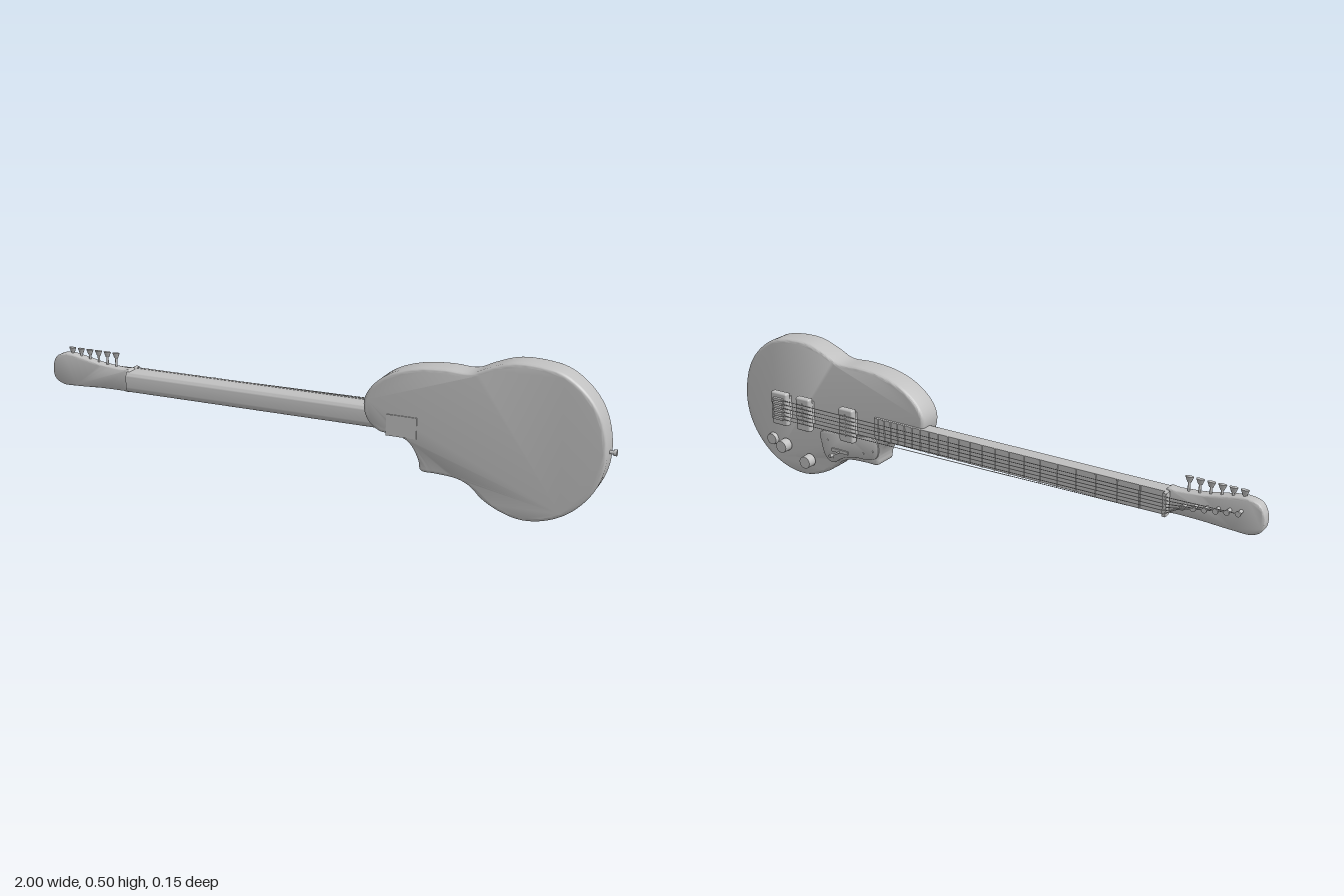
import * as THREE from 'three';
import { toCreasedNormals } from 'three/addons/utils/BufferGeometryUtils.js';
import { RoundedBoxGeometry } from 'three/addons/geometries/RoundedBoxGeometry.js';

const grey = new THREE.MeshStandardMaterial({ color: 0xc0c0c0 });
grey.name = 'plain grey';

export function createModel() {
  const group = new THREE.Group();
  group.name = 'electricGuitar';

  const add = (name, geometry, x = 0, y = 0, z = 0) => {
    const mesh = new THREE.Mesh(geometry, grey);
    mesh.name = name;
    mesh.position.set(x, y, z);
    group.add(mesh);
    return mesh;
  };
  const box = (name, x, y, z, w, h, d) => add(name, new THREE.BoxGeometry(w, h, d), x, y, z);
  // cylinder between two points, r0 at the start and r1 at the end
  const rod = (name, a, b, r0, r1 = r0, sides = 16) => {
    const from = new THREE.Vector3(...a), to = new THREE.Vector3(...b);
    const dir = to.clone().sub(from);
    const mesh = add(name, new THREE.CylinderGeometry(r1, r0, dir.length(), sides));
    mesh.position.copy(from).addScaledVector(dir, 0.5);
    mesh.quaternion.setFromUnitVectors(new THREE.Vector3(0, 1, 0), dir.normalize());
    return mesh;
  };
  // smooth closed outline extruded from z0 to z1 with rounded rims
  const slab = (name, points, z0, z1, bevel, divisions = 120) => {
    const curve = new THREE.CatmullRomCurve3(points.map(([x, y]) => new THREE.Vector3(x, y, 0)), true, 'centripetal');
    const outline = curve.getPoints(divisions).slice(0, -1).map(p => new THREE.Vector2(p.x, p.y));
    const geo = new THREE.ExtrudeGeometry(new THREE.Shape(outline), {
      depth: z1 - z0 - 2 * bevel, bevelEnabled: bevel > 0, bevelThickness: bevel,
      bevelSize: bevel, bevelOffset: -bevel, bevelSegments: 4,
    });
    geo.translate(0, 0, z0 + bevel);
    return add(name, toCreasedNormals(geo, 0.6));
  };

  // body with a single cutaway
  slab('body', [
    [0.2, 0.32], [0.225, 0.37], [0.285, 0.418], [0.37, 0.447], [0.468, 0.456], [0.55, 0.454],
    [0.607, 0.478], [0.676, 0.501], [0.757, 0.503], [0.837, 0.487], [0.906, 0.438], [0.954, 0.369],
    [0.977, 0.27], [0.97, 0.19], [0.938, 0.118], [0.874, 0.05], [0.795, 0.012], [0.72, 0.004],
    [0.65, 0.023], [0.596, 0.053], [0.559, 0.087], [0.516, 0.106], [0.446, 0.112], [0.395, 0.116],
    [0.386, 0.15], [0.356, 0.2], [0.318, 0.219], [0.25, 0.228], [0.21, 0.265],
  ], -0.02, 0.071, 0.011, 150);

  // neck, with a rounded back
  const profile = new THREE.Shape();
  profile.moveTo(0.021, 0.219);
  profile.lineTo(0.021, 0.294);
  profile.lineTo(-0.012, 0.294);
  profile.quadraticCurveTo(-0.037, 0.294, -0.037, 0.272);
  profile.lineTo(-0.037, 0.241);
  profile.quadraticCurveTo(-0.037, 0.219, -0.012, 0.219);
  const neck = new THREE.ExtrudeGeometry(profile, { depth: 1.08, bevelEnabled: false, curveSegments: 8 });
  neck.rotateY(Math.PI / 2);
  add('neck', toCreasedNormals(neck, 0.6), -0.695);
  box('fretboard', -0.148, 0.2565, -0.0255, 1.084, 0.077, 0.009);
  box('neckPlate', 0.331, 0.254, 0.0725, 0.102, 0.07, 0.004);
  box('nut', -0.695, 0.2565, -0.033, 0.012, 0.077, 0.026);

  // frets at equal-tempered spacing
  const scaleLength = 1.485;
  for (let n = 1; n <= 22; n++) {
    box('fret', -0.69 + scaleLength * (1 - 2 ** (-n / 12)), 0.2565, -0.0315, 0.005, 0.076, 0.004);
  }

  // headstock
  slab('headstock', [
    [-0.685, 0.296], [-0.72, 0.297], [-0.8, 0.304], [-0.87, 0.317], [-0.94, 0.327], [-0.982, 0.315], [-1.0, 0.28],
    [-0.995, 0.235], [-0.965, 0.215], [-0.9, 0.214], [-0.8, 0.219], [-0.72, 0.22], [-0.685, 0.221],
  ], -0.014, 0.024, 0.006, 80);

  // tuners and strings
  for (let i = 0; i < 6; i++) {
    const t = i / 5;
    const x = -0.751 - 0.177 * t;
    const postY = 0.26 + 0.025 * t;
    rod('tunerPost', [x, postY, -0.012], [x, postY, -0.035], 0.006);
    rod('tunerPostCap', [x, postY, -0.035], [x, postY, -0.041], 0.009);
    rod('tunerShaft', [x, 0.295, 0.003], [x, 0.335, 0.003], 0.004);
    rod('tunerButton', [x, 0.329, 0.003], [x, 0.347, 0.003], 0.007, 0.014).scale.z = 0.5;

    const nutY = 0.228 + 0.057 * t, bridgeY = 0.219 + 0.071 * t;
    const nutPoint = [-0.695, nutY, -0.047];
    rod('headString', [x, postY, -0.037], nutPoint, 0.0012, 0.0012, 6);
    rod('string', nutPoint, [0.79, bridgeY, -0.064], 0.0012, 0.0012, 6);
    box('saddle', 0.79, bridgeY, -0.061, 0.04, 0.009, 0.012);
  }

  // pickups and bridge, each on a smaller base
  const block = (name, x, width, front) => {
    box(name + 'Base', x, 0.2535, -0.026, width - 0.012, 0.084, 0.014);
    add(name, new RoundedBoxGeometry(width, 0.122, front - 0.032, 3, 0.007), x, 0.2515, -(front + 0.032) / 2);
  };
  block('neckPickup', 0.498, 0.06, 0.057);
  block('bridgePickup', 0.686, 0.06, 0.057);
  block('bridge', 0.792, 0.07, 0.057);
  for (const x of [0.498, 0.686]) {
    for (let i = 0; i < 6; i++) {
      const y = 0.219 + 0.071 * i / 5;
      rod('polePiece', [x, y, -0.056], [x, y, -0.06], 0.004, 0.004, 10);
    }
  }

  // control plate with a lever switch and screws
  slab('controlPlate', [
    [0.4, 0.212], [0.386, 0.185], [0.394, 0.145], [0.43, 0.13], [0.49, 0.125],
    [0.54, 0.11], [0.585, 0.085], [0.615, 0.1], [0.632, 0.15], [0.635, 0.19], [0.52, 0.2],
  ], -0.025, -0.019, 0.001, 70);
  box('switchSlot', 0.55, 0.135, -0.027, 0.07, 0.012, 0.005);
  rod('switchLever', [0.552, 0.132, -0.025], [0.557, 0.131, -0.062], 0.003);
  rod('switchTip', [0.557, 0.131, -0.06], [0.559, 0.131, -0.073], 0.006);
  for (const [x, y] of [[0.41, 0.165], [0.45, 0.15], [0.605, 0.165], [0.585, 0.105]]) {
    rod('plateScrew', [x, y, -0.024], [x, y, -0.028], 0.004, 0.004, 10);
  }

  // knobs, jack socket and strap pin
  for (const [x, y] of [[0.685, 0.072], [0.79, 0.108]]) {
    rod('knobShaft', [x, y, -0.018], [x, y, -0.03], 0.008);
    rod('knob', [x, y, -0.027], [x, y, -0.06], 0.023, 0.022, 24);
  }
  rod('jackSocket', [0.855, 0.115, -0.019], [0.855, 0.115, -0.034], 0.022, 0.02, 24);
  rod('strapPinStem', [0.97, 0.252, 0.026], [0.992, 0.252, 0.026], 0.006);
  rod('strapPin', [0.99, 0.252, 0.026], [1.0, 0.252, 0.026], 0.01);

  return group;
}
